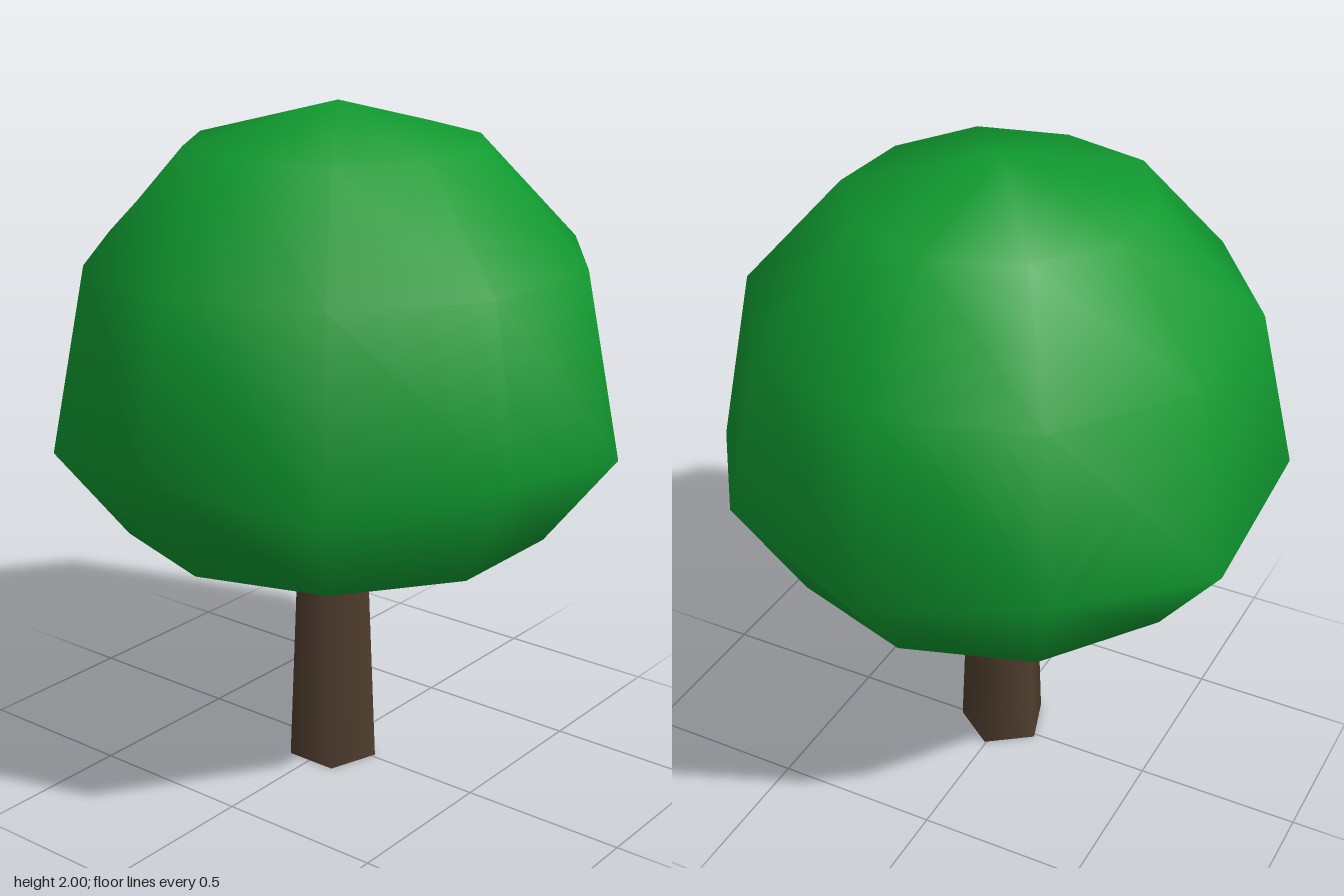
import * as THREE from 'three';
import { mergeVertices } from 'three/addons/utils/BufferGeometryUtils.js';

const SIDES = 10;

// Rounded crown: a ten-sided lathe whose widest ring zigzags up and down
function crownGeometry() {
  const profile = [[0, 0.56], [0.63, 0.77], [0.837, 1.073], [0.73, 1.573], [0.435, 1.89], [0, 2]]
    .map(([r, y]) => new THREE.Vector2(r, y));
  let geometry = new THREE.LatheGeometry(profile, SIDES);
  const pos = geometry.attributes.position;
  for (let i = 0; i < pos.count; i++) {
    const ring = i % profile.length;
    const even = Math.floor(i / profile.length) % 2 === 0;
    if (ring === 2) pos.setY(i, pos.getY(i) + (even ? 0.037 : -0.037));
    if (ring === 4) {
      const s = even ? 0.975 : 1.02;
      pos.setX(i, pos.getX(i) * s);
      pos.setZ(i, pos.getZ(i) * s);
    }
  }
  // Weld the seam and poles so the shading is smooth all round
  geometry.deleteAttribute('uv');
  geometry.deleteAttribute('normal');
  geometry = mergeVertices(geometry, 1e-4);
  geometry.computeVertexNormals();
  return geometry;
}

export function createModel() {
  const leafGreen = new THREE.MeshStandardMaterial({ color: 0x109a30 });
  leafGreen.name = 'leafGreen';
  const barkBrown = new THREE.MeshStandardMaterial({ color: 0x4f3d2e });
  barkBrown.name = 'barkBrown';

  const tree = new THREE.Group();
  tree.name = 'tree';

  const crown = new THREE.Mesh(crownGeometry(), leafGreen);
  crown.name = 'crown';

  // Five-sided tapered trunk with a corner at the back, running into the crown
  const height = 0.68;
  const trunk = new THREE.Mesh(
    new THREE.CylinderGeometry(0.109, 0.137, height, 5, 1, false, Math.PI), barkBrown);
  trunk.name = 'trunk';
  trunk.position.set(0.005, height / 2, 0.03);

  tree.add(crown, trunk);
  return tree;
}
